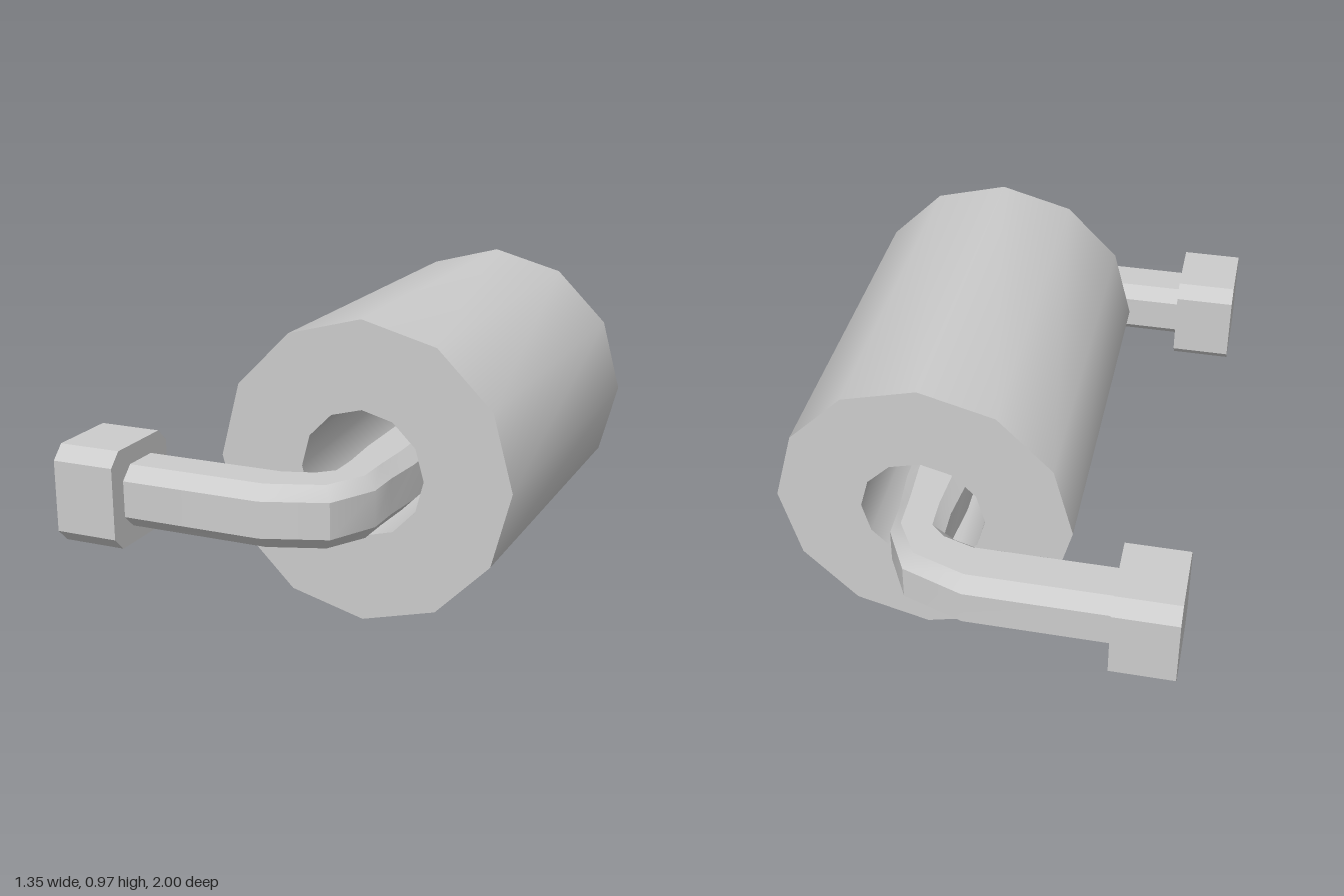
import * as THREE from 'three';
import { toCreasedNormals } from 'three/addons/utils/BufferGeometryUtils.js';

const material = new THREE.MeshStandardMaterial({ color: 0xcccccc });
const CREASE = Math.PI * 0.19;

function addMesh(group, name, geometry) {
  const mesh = new THREE.Mesh(toCreasedNormals(geometry, CREASE), material);
  mesh.name = name;
  group.add(mesh);
  return mesh;
}

// Square with cut corners, centred on the origin
function chamferedSquare(size, cut) {
  const h = size / 2, k = h - cut;
  return [[h, -k], [h, k], [k, h], [-k, h], [-h, k], [-h, -k], [-k, -h], [k, -h]]
    .map(([x, y]) => new THREE.Vector2(x, y));
}

// Hollow twelve-sided roll lying along z
function rollGeometry() {
  const outer = 0.484, inner = 0.203, half = 0.63;
  const profile = [[outer, -half], [outer, half], [inner, half], [inner, -half], [outer, -half]]
    .map(([r, y]) => new THREE.Vector2(r, y));
  return new THREE.LatheGeometry(profile, 12).rotateX(Math.PI / 2);
}

// Bent bar: chamfered sections stretched between an inner and an outer rail
function barGeometry() {
  // inner x, inner z, outer x, outer z
  const half = [
    [-0.5, 0.735, -0.5, 0.94],
    [-0.01, 0.735, -0.01, 0.94],
    [0.06, 0.715, 0.19, 0.87],
    [0.1, 0.7, 0.27, 0.72],
    [0.103, 0.6, 0.272, 0.6],
    [0.087, 0.45, 0.287, 0.45],
  ];
  const rails = [...half, ...half.map(([a, b, c, d]) => [a, -b, c, -d]).reverse()];
  const section = chamferedSquare(0.2, 0.042);
  const n = section.length;
  const positions = [], index = [];
  rails.forEach(([ix, iz, ox, oz], i) => {
    section.forEach((p, j) => {
      const t = p.x / 0.2 + 0.5;
      positions.push(ix + (ox - ix) * t, 0.415 + p.y, iz + (oz - iz) * t);
      if (i < rails.length - 1) {
        const a = i * n + j, b = i * n + (j + 1) % n;
        index.push(a, a + n, b + n, a, b + n, b);
      }
    });
  });
  const geometry = new THREE.BufferGeometry();
  geometry.setAttribute('position', new THREE.Float32BufferAttribute(positions, 3));
  geometry.setIndex(index);
  return geometry;
}

export function createModel() {
  const group = new THREE.Group();
  group.name = 'rollHolder';

  addMesh(group, 'paperRoll', rollGeometry()).position.set(0.187, 0.487, 0);
  addMesh(group, 'bentBar', barGeometry());

  // Wall mounts at both ends of the bar
  for (const side of [1, -1]) {
    const mount = new THREE.ExtrudeGeometry(
      new THREE.Shape(chamferedSquare(0.315, 0.043)), { depth: 0.205, bevelEnabled: false });
    mount.rotateY(Math.PI / 2);
    addMesh(group, side > 0 ? 'frontMount' : 'backMount', mount)
      .position.set(-0.675, 0.417, side * 0.8425);
  }
  return group;
}
